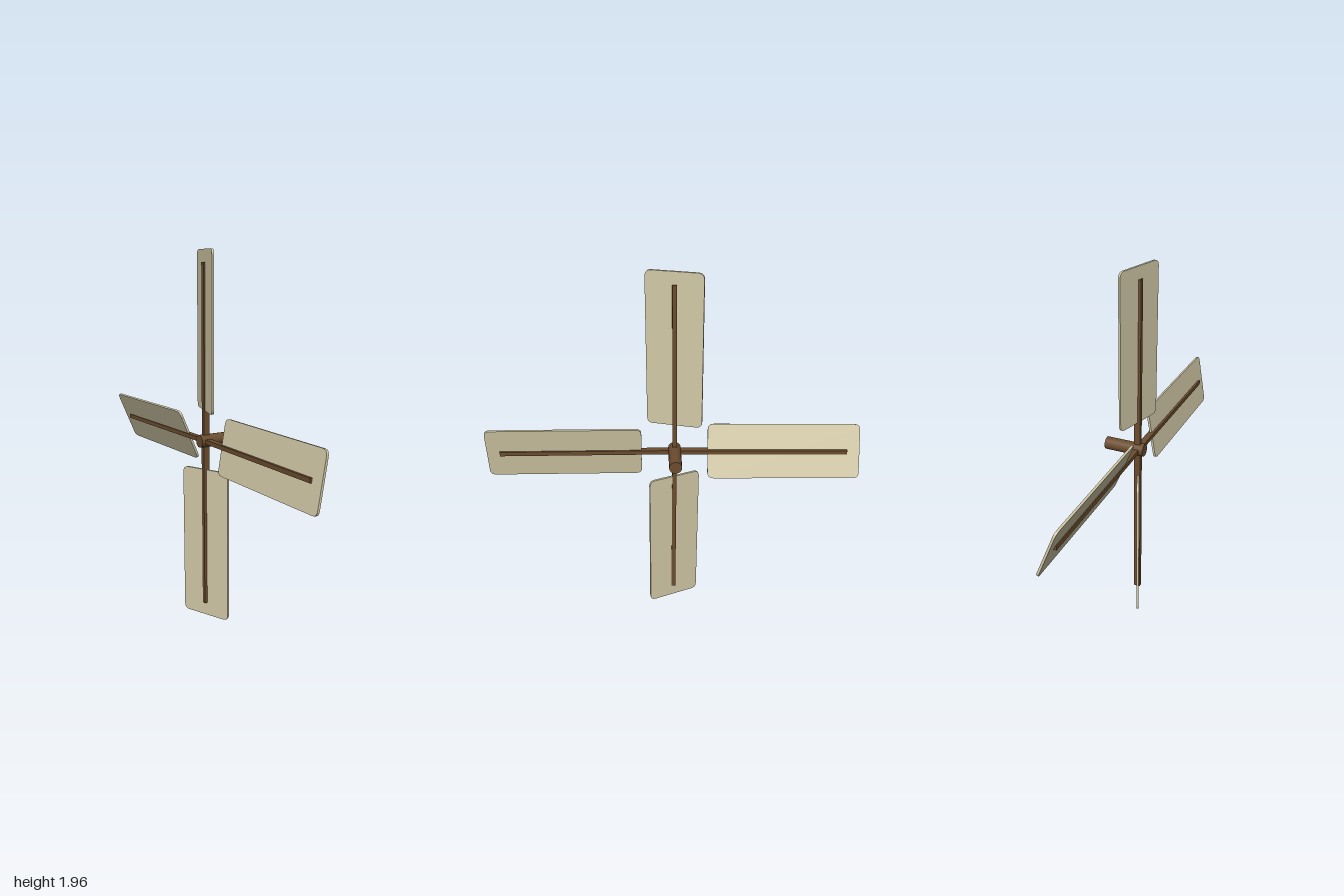
import * as THREE from 'three';

const HUB_Y = 0.978;
const HUB_X = -0.06;

// Thin rounded panel lying in the y-z plane, centred on its own middle
function panelGeometry(width, length, thickness, r) {
  const w = width / 2, h = length / 2;
  const s = new THREE.Shape();
  s.moveTo(-w + r, -h);
  s.lineTo(w - r, -h);
  s.quadraticCurveTo(w, -h, w, -h + r);
  s.lineTo(w, h - r);
  s.quadraticCurveTo(w, h, w - r, h);
  s.lineTo(-w + r, h);
  s.quadraticCurveTo(-w, h, -w, h - r);
  s.lineTo(-w, -h + r);
  s.quadraticCurveTo(-w, -h, -w + r, -h);
  const g = new THREE.ExtrudeGeometry(s, { depth: thickness, bevelEnabled: false, curveSegments: 5 });
  g.translate(0, 0, -thickness / 2);
  g.rotateY(Math.PI / 2);
  return g;
}

export function createModel() {
  const model = new THREE.Group();
  model.name = 'windmillSails';

  const wood = new THREE.MeshStandardMaterial({ color: 0x6b4c2e });
  wood.name = 'brown wood';
  const canvas = new THREE.MeshStandardMaterial({ color: 0xd2c9a7 });
  canvas.name = 'cream canvas';

  // Axle through the hub
  const axle = new THREE.Mesh(new THREE.CylinderGeometry(0.034, 0.034, 0.217, 16), wood);
  axle.name = 'axle';
  axle.rotation.z = -Math.PI / 2;
  axle.position.set(0.0115, HUB_Y, 0);
  model.add(axle);

  // Four sails, each with its own slightly irregular pitch and angle (degrees)
  const sails = [
    { name: 'topSail', angle: 0, pitch: 15, middle: 0.571, spar: 0.917, x: -0.058 },
    { name: 'backSail', angle: -91.1, pitch: 22.5, middle: 0.588, spar: 0.93, x: -0.058 },
    { name: 'bottomSail', angle: 179.5, pitch: 23, middle: 0.567, spar: 0.908, x: -0.06 },
    { name: 'frontSail', angle: 89.7, pitch: 9.5, middle: 0.588, spar: 0.93, x: HUB_X },
  ];
  const clothGeometry = panelGeometry(0.294, 0.822, 0.012, 0.032);

  for (const { name, angle, pitch, middle, spar, x } of sails) {
    const sail = new THREE.Group();
    sail.name = name;
    sail.position.set(x, HUB_Y, 0);
    sail.rotation.x = THREE.MathUtils.degToRad(angle);

    // Spar running through the middle of the cloth
    const beam = new THREE.Mesh(new THREE.BoxGeometry(0.034, spar, 0.023), wood);
    beam.name = 'spar';
    beam.position.y = spar / 2;
    sail.add(beam);

    // Pitched cloth panel
    const cloth = new THREE.Mesh(clothGeometry, canvas);
    cloth.name = 'cloth';
    cloth.position.y = middle;
    cloth.rotation.y = -THREE.MathUtils.degToRad(pitch);
    sail.add(cloth);

    model.add(sail);
  }
  return model;
}
